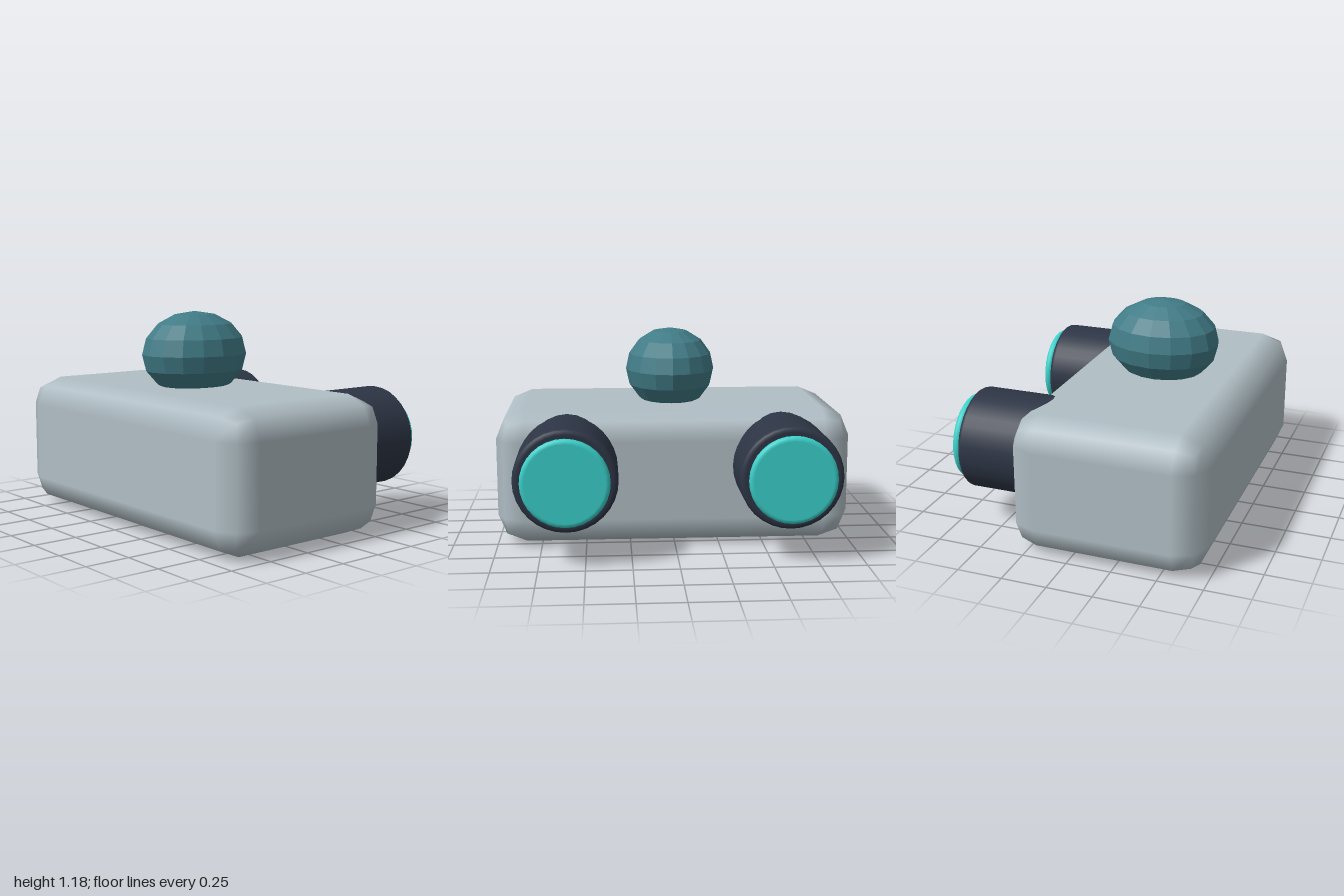
import * as THREE from 'three';
import { RoundedBoxGeometry } from 'three/addons/geometries/RoundedBoxGeometry.js';

function material(name, color) {
  const m = new THREE.MeshStandardMaterial({ color });
  m.name = name;
  return m;
}

// Closed drum along z with filleted rims, from zFront back to zBack
function drum(radius, zFront, zBack, fillet) {
  const length = zFront - zBack;
  const inner = radius - fillet;
  const pts = [new THREE.Vector2(0, 0), new THREE.Vector2(inner - 0.004, 0)];
  const steps = 4;
  for (let i = 0; i <= steps; i++) {
    const a = (i / steps) * Math.PI / 2;
    pts.push(new THREE.Vector2(inner + fillet * Math.sin(a), fillet * (1 - Math.cos(a))));
  }
  for (let i = 0; i <= steps; i++) {
    const a = (i / steps) * Math.PI / 2;
    pts.push(new THREE.Vector2(inner + fillet * Math.cos(a), length - fillet * (1 - Math.sin(a))));
  }
  pts.push(new THREE.Vector2(inner - 0.004, length), new THREE.Vector2(0, length));
  const g = new THREE.LatheGeometry(pts, 32);
  g.rotateX(-Math.PI / 2);
  g.translate(0, 0, zFront);
  return g;
}

export function createModel() {
  const group = new THREE.Group();
  const hullGrey = material('hull grey', 0xb0bec5);
  const canopyTeal = material('canopy teal', 0x417c87);
  const engineDark = material('engine dark', 0x2d3545);
  const glowTurquoise = material('glow turquoise', 0x3ad0ca);

  const add = (name, geometry, mat, x, y, z) => {
    const mesh = new THREE.Mesh(geometry, mat);
    mesh.name = name;
    mesh.position.set(x, y, z);
    group.add(mesh);
    return mesh;
  };

  // Main body with coarse rounded edges
  add('body', new RoundedBoxGeometry(2, 0.76, 1.08, 1, 0.16), hullGrey, 0, 0.38, 0.19);

  // Faceted canopy dome
  const dome = new THREE.SphereGeometry(1, 16, 8).scale(0.26, 0.24, 0.32).toNonIndexed();
  dome.computeVertexNormals();
  canopyTeal.flatShading = true;
  add('canopy', dome, canopyTeal, 0, 0.94, 0.19);

  // Rear engines with glowing discs
  for (const [side, x] of [['left', 0.6], ['right', -0.6]]) {
    add(side + 'Engine', drum(0.28, -0.12, -0.68, 0.025), engineDark, x, 0.463, 0);
    add(side + 'EngineGlow', drum(0.238, -0.686, -0.734, 0.022), glowTurquoise, x, 0.463, 0);
  }
  return group;
}
